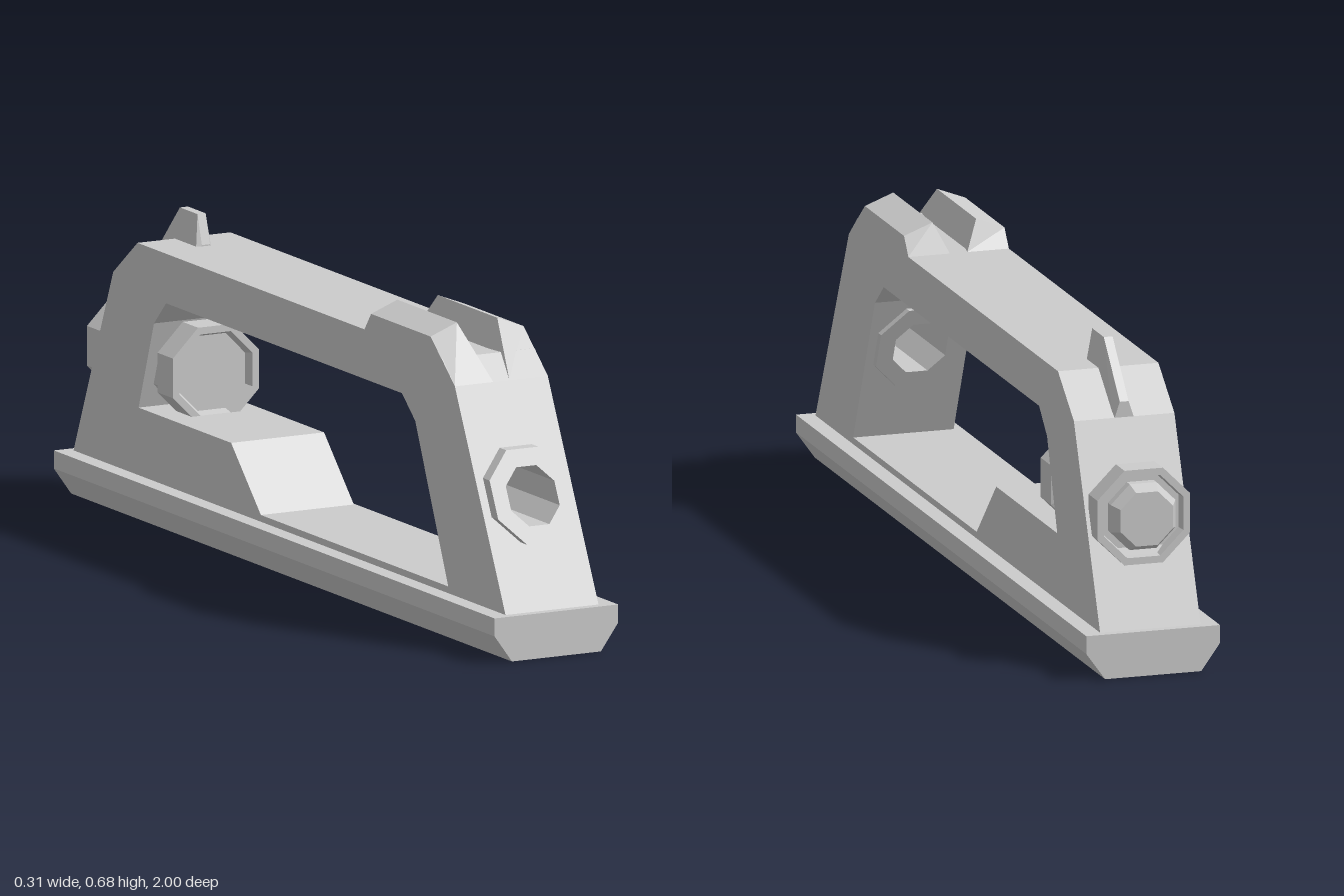
import * as THREE from 'three';

const material = new THREE.MeshStandardMaterial({ color: 0xcccccc, flatShading: true });

function part(name, geometry) {
  const mesh = new THREE.Mesh(geometry, material);
  mesh.name = name;
  return mesh;
}

const polygon = (points) => new THREE.Shape(points.map(([x, y]) => new THREE.Vector2(x, y)));

const extrude = (shape, depth) => new THREE.ExtrudeGeometry(shape, { depth, bevelEnabled: false });

// Octagon with a flat top, given its centre height and corner radius
function octagon(y, r) {
  const points = [];
  for (let i = 0; i < 8; i++) {
    const a = ((i + 0.5) * Math.PI) / 4;
    points.push([r * Math.cos(a), y + r * Math.sin(a)]);
  }
  return points;
}

// Skin over cross-sections [z, corners], z rising, corners counter-clockwise from +z
function loft(sections) {
  const n = sections[0][1].length;
  const positions = sections.flatMap(([z, ring]) => ring.flatMap(([x, y]) => [x, y, z]));
  const index = [];
  for (let i = 0; i < sections.length - 1; i++) {
    for (let j = 0; j < n; j++) {
      const k = (j + 1) % n;
      const a = i * n + j, b = i * n + k, c = b + n, d = a + n;
      index.push(a, b, c, a, c, d);
    }
  }
  const last = (sections.length - 1) * n;
  for (let j = 1; j < n - 1; j++) {
    index.push(0, j + 1, j, last, last + j, last + j + 1);
  }
  const geometry = new THREE.BufferGeometry();
  geometry.setAttribute('position', new THREE.Float32BufferAttribute(positions, 3));
  geometry.setIndex(index);
  geometry.computeVertexNormals();
  return geometry;
}

// Front leg slopes: z of the inner and outer face at a height
const legInner = (y) => 0.72 - 0.441 * (y - 0.115);
const legOuter = (y) => 0.98 - 0.495 * (y - 0.1);

// Extrude a front-view shape and slant its ends to follow the front leg
function slanted(shape, inset, outset) {
  const geometry = extrude(shape, 1);
  const p = geometry.attributes.position;
  for (let i = 0; i < p.count; i++) {
    const y = p.getY(i);
    p.setZ(i, p.getZ(i) > 0.5 ? legOuter(y) + outset : legInner(y) - inset);
  }
  geometry.computeVertexNormals();
  return geometry;
}

export function createModel() {
  const model = new THREE.Group();
  model.name = 'carryHandleSight';
  const half = 0.115;

  // Mounting rail with chamfered underside
  const rail = extrude(polygon([
    [-0.11, 0], [0.11, 0], [0.153, 0.06], [0.153, 0.1], [-0.153, 0.1], [-0.153, 0.06],
  ]), 2);
  rail.translate(0, 0, -1);
  model.add(part('baseRail', rail));

  // Handle: floor, rear leg and top bar as one side profile (z, y)
  const frame = extrude(polygon([
    [0.98, 0.1], [legOuter(0.115), 0.115], [-0.13, 0.115], [-0.265, 0.25], [-0.685, 0.25],
    [-0.615, 0.45], [-0.56, 0.505], [0.51, 0.505], [0.57, 0.455], [legOuter(0.455), 0.455],
    [0.75, 0.565], [0.69, 0.615], [-0.69, 0.615], [-0.8, 0.53], [-0.98, 0.1],
  ]), 2 * half);
  frame.rotateY(-Math.PI / 2).translate(half, 0, 0);
  model.add(part('handleFrame', frame));

  // Front leg pierced by the sight tunnel
  const holePoints = octagon(0.337, 0.065);
  const leg = polygon([[-half, 0.115], [half, 0.115], [half, 0.455], [-half, 0.455]]);
  leg.holes.push(polygon(holePoints));
  model.add(part('frontLeg', slanted(leg, 0, 0)));

  // Collar standing proud on both faces of the front leg
  const collar = polygon(octagon(0.337, 0.104));
  collar.holes.push(polygon(holePoints));
  model.add(part('tunnelCollar', slanted(collar, 0.02, 0.03)));

  // Pair of ears forming the notch above the front leg
  for (const side of [1, -1]) {
    const ring = (base, outerTop, innerX, innerTop) => {
      const points = [[0.02, base], [half, base], [half, outerTop], [innerX, innerTop]]
        .map(([x, y]) => [x * side, y]);
      return side > 0 ? points : points.reverse();
    };
    model.add(part(side > 0 ? 'leftNotchEar' : 'rightNotchEar', loft([
      [0.34, ring(0.615, 0.615, 0.02, 0.615)],
      [0.37, ring(0.6, 0.655, 0.05, 0.68)],
      [0.64, ring(0.6, 0.655, 0.05, 0.68)],
      [0.75, ring(0.565, 0.565, 0.02, 0.565)],
    ])));
  }

  // Tapered fin on the rear shoulder
  const finRing = (base, top) => [[-0.025, base], [0.025, base], [0.01, top], [-0.01, top]];
  model.add(part('rearFin', loft([
    [-0.8, finRing(0.52, 0.565)],
    [-0.69, finRing(0.6, 0.683)],
    [-0.61, finRing(0.6, 0.683)],
    [-0.59, finRing(0.6, 0.618)],
  ])));

  // Eight-sided optic through the rear leg: eyepiece at the back, lens at the front
  const profile = [
    [0, -0.957], [0.065, -0.957], [0.08, -0.93], [0.08, -0.91], [0.095, -0.91], [0.098, -0.935],
    [0.115, -0.935], [0.115, -0.875], [0.095, -0.85], [0.095, -0.62], [0.115, -0.615],
    [0.115, -0.545], [0.098, -0.545], [0.09, -0.565], [0, -0.565],
  ].map(([r, z]) => new THREE.Vector2(r, z));
  const optic = new THREE.LatheGeometry(profile, 8, Math.PI / 8);
  optic.rotateX(Math.PI / 2).translate(0, 0.34, 0);
  model.add(part('rearOptic', optic));

  return model;
}
